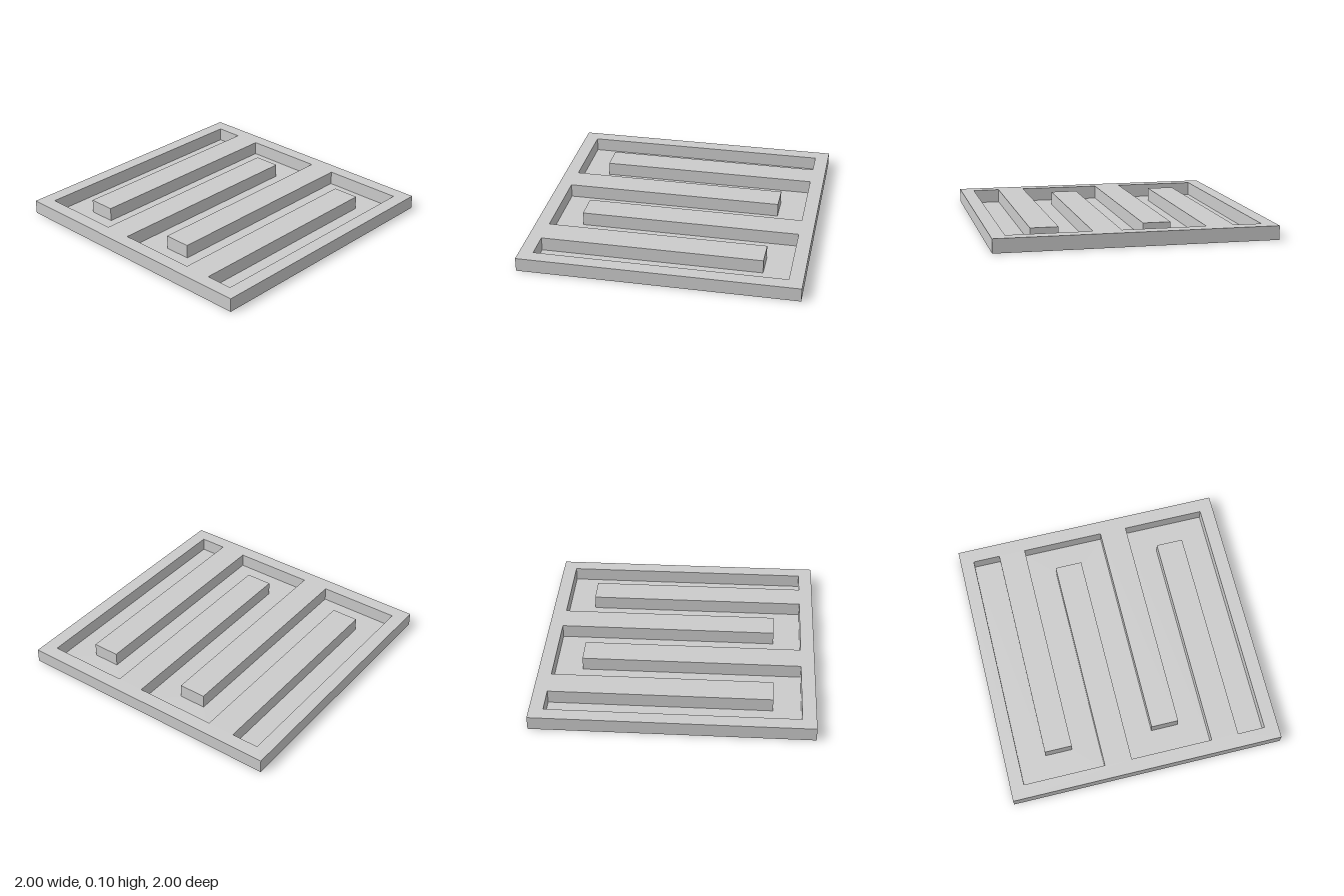
import * as THREE from 'three';
import { mergeGeometries } from 'three/addons/utils/BufferGeometryUtils.js';

const HEIGHT = 0.1;

// Outlines as [x, z] corners; the second half of the channel is the first turned by 180 degrees
const rim = [[-1, 1], [1, 1], [1, -1], [-1, -1]];
const halfChannel = [
  [-0.9, -0.9], [0.9, -0.9], [0.9, -0.7], [-0.7, -0.7], [-0.7, -0.5],
  [0.9, -0.5], [0.9, 0.1], [-0.7, 0.1], [-0.7, 0.3], [0.9, 0.3],
];
const channel = [...halfChannel, ...halfChannel.map(([x, z]) => [-x, -z])];

const toPoints = (outline) => outline.map(([x, z]) => new THREE.Vector2(x, -z));

// Flat horizontal sheet facing up
function sheet(outline, y, hole) {
  const shape = new THREE.Shape(toPoints(outline));
  if (hole) shape.holes.push(new THREE.Path(toPoints(hole)));
  return new THREE.ShapeGeometry(shape).rotateX(-Math.PI / 2).translate(0, y, 0);
}

// One upright panel along each edge of a closed outline
function walls(outline) {
  return mergeGeometries(outline.map(([ax, az], i) => {
    const [bx, bz] = outline[(i + 1) % outline.length];
    return new THREE.PlaneGeometry(Math.hypot(bx - ax, bz - az), HEIGHT)
      .rotateY(Math.atan2(az - bz, bx - ax))
      .translate((ax + bx) / 2, HEIGHT / 2, (az + bz) / 2);
  }));
}

export function createModel() {
  const group = new THREE.Group();
  group.name = 'serpentineTray';
  const material = new THREE.MeshStandardMaterial({ color: 0xcccccc, side: THREE.DoubleSide });
  const add = (name, geometry) => {
    const mesh = new THREE.Mesh(geometry, material);
    mesh.name = name;
    group.add(mesh);
  };

  // Thin shell, open underneath the rim and the dividers
  add('topPlate', sheet(rim, HEIGHT, channel));
  add('channelFloor', sheet(channel, 0));
  add('channelWalls', walls(channel));
  add('outerWalls', walls(rim));
  return group;
}
